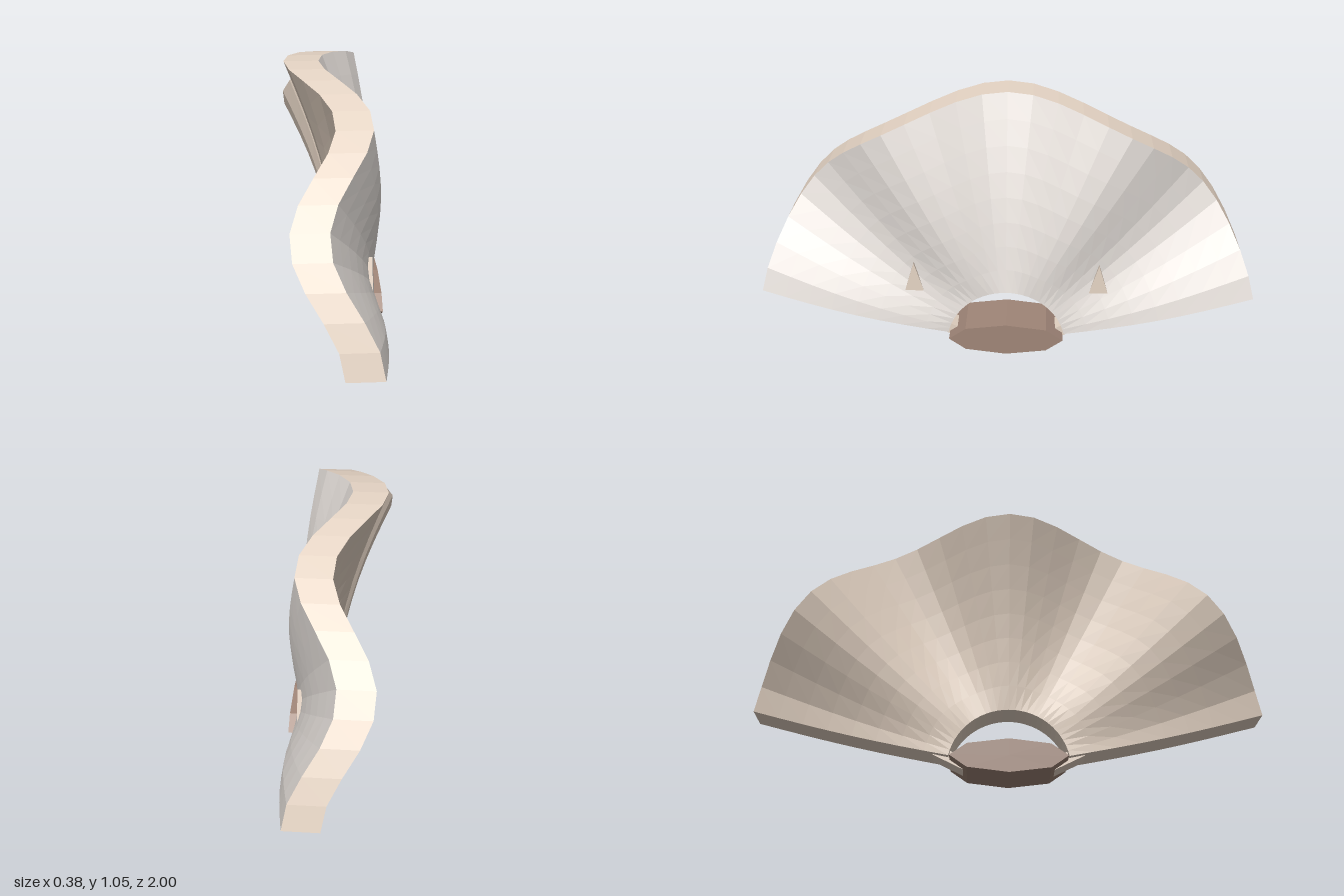
import * as THREE from 'three';
import { ParametricGeometry } from 'three/addons/geometries/ParametricGeometry.js';

const CENTRE_Y = 0.028, R_IN = 0.242, R_OUT = 1.022, THICK = 0.135;
const START = THREE.MathUtils.degToRad(12);
const SWEEP = Math.PI - 2 * START;
const SEGMENTS = 28, RINGS = 8;

const material = (color) => new THREE.MeshStandardMaterial({ color, flatShading: true });

// Point in the slab: a = along the arc, t = inner to outer, d = through the thickness (all 0..1)
function fanPoint(a, t, d, target) {
  const angle = START + a * SWEEP;
  const r = THREE.MathUtils.lerp(R_IN, R_OUT, t);
  const wave = 0.0875 * t * Math.cos(a * 6 * Math.PI);
  const bow = 0.03 * Math.sin(Math.PI * t) - 0.1225 * t;
  target.set(0.155 - THICK * (1 - d) + bow + wave, CENTRE_Y + r * Math.sin(angle), r * Math.cos(angle));
}

export function createModel() {
  const model = new THREE.Group();
  const cream = material(0xe6d5c5);
  const pale = material(0xe9e3de);
  const brown = material(0xa08678);

  const add = (name, geometry, mat, parent = model) => {
    const mesh = new THREE.Mesh(geometry, mat);
    mesh.name = name;
    parent.add(mesh);
    return mesh;
  };

  // Wavy fan: two broad faces, the two curved rims and the two straight ends
  const fan = new THREE.Group();
  fan.name = 'fan';
  model.add(fan);
  const sheet = (name, mat, nu, nv, map) =>
    add(name, new ParametricGeometry((u, v, p) => fanPoint(...map(u, v), p), nu, nv), mat, fan);
  sheet('fanFace', pale, SEGMENTS, RINGS, (u, v) => [u, v, 1]);
  sheet('fanBack', cream, RINGS, SEGMENTS, (u, v) => [v, u, 0]);
  sheet('outerRim', cream, 1, SEGMENTS, (u, v) => [v, 1, u]);
  sheet('innerRim', cream, SEGMENTS, 1, (u, v) => [u, 0, v]);
  sheet('frontEnd', cream, 1, RINGS, (u, v) => [0, v, u]);
  sheet('backEnd', cream, RINGS, 1, (u, v) => [1, u, v]);

  // Flattened eight-sided hub
  const hub = new THREE.CylinderGeometry(1, 1, 0.205, 8);
  hub.rotateZ(Math.PI / 2);
  hub.scale(1, 0.0685, 0.232);
  add('hub', hub, brown).position.set(0.0875, 0.0685, 0);

  // Pointed tooth profile, extruded along x
  const profile = new THREE.Shape([
    new THREE.Vector2(-0.038, 0.26),
    new THREE.Vector2(0.038, 0.26),
    new THREE.Vector2(0, 0.385),
  ]);
  const tooth = new THREE.ExtrudeGeometry(profile, { depth: 0.06, bevelEnabled: false });
  tooth.rotateY(Math.PI / 2);

  // Mirrored teeth in the troughs and lugs joining the hub to the fan
  for (const side of [1, -1]) {
    const end = side > 0 ? 'front' : 'back';
    add(end + 'Tooth', tooth, cream).position.set(0.07, 0, side * 0.373);
    const lug = add(end + 'Lug', new THREE.BoxGeometry(0.085, 0.045, 0.134), cream);
    lug.position.set(0.0875, 0.08, side * 0.23);
    lug.rotation.x = -side * 0.46;
  }
  return model;
}
